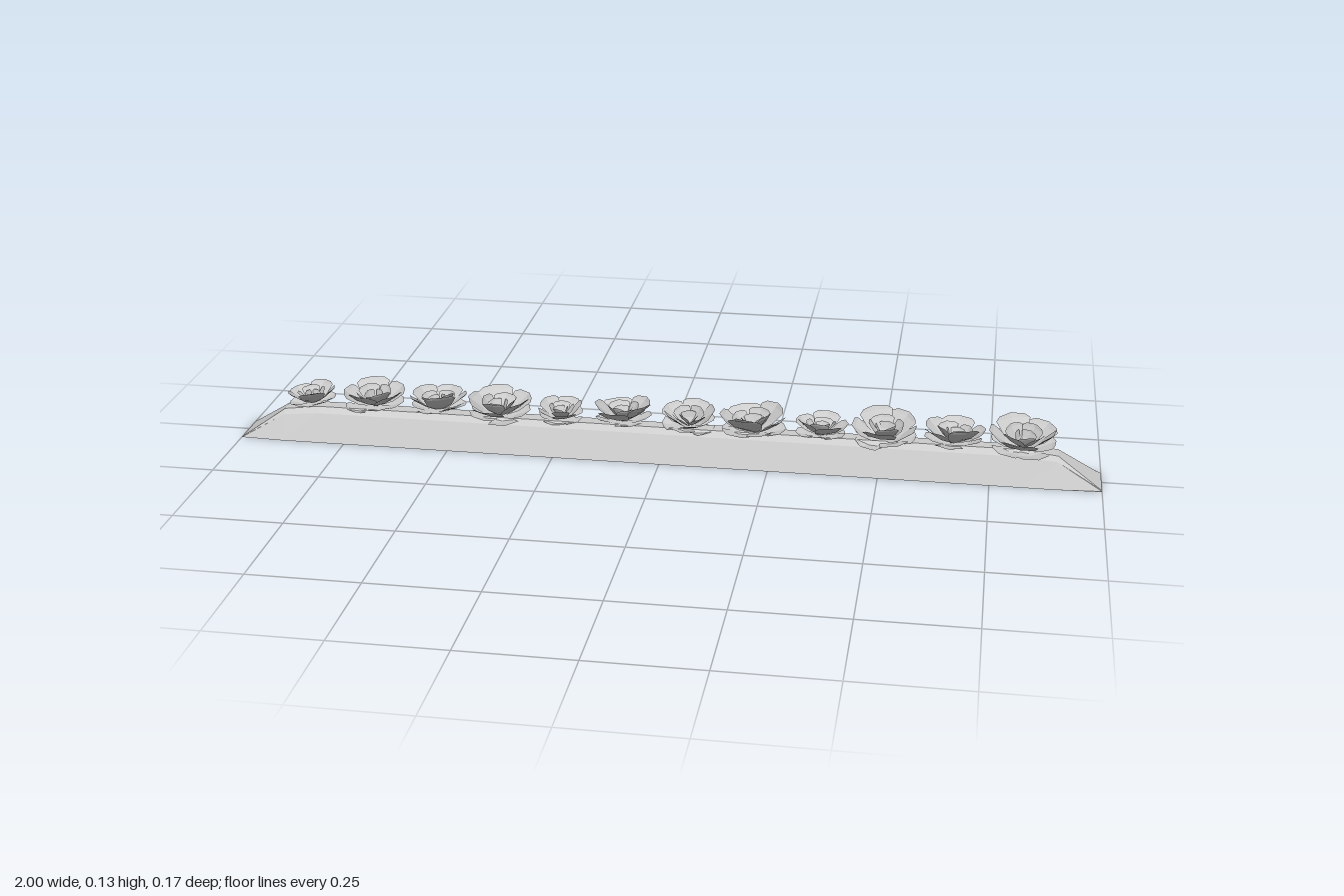
import * as THREE from 'three';

// Flat-shaded surface from a grid of points, given as rows of equal length
function gridGeometry(positions, rowLength) {
  const index = [];
  const rowCount = positions.length / 3 / rowLength;
  for (let r = 0; r < rowCount - 1; r++) {
    for (let c = 0; c < rowLength - 1; c++) {
      const a = r * rowLength + c, b = a + 1, e = a + rowLength, f = e + 1;
      index.push(a, b, e, b, f, e);
    }
  }
  const indexed = new THREE.BufferGeometry();
  indexed.setAttribute('position', new THREE.Float32BufferAttribute(positions, 3));
  indexed.setIndex(index);
  const flat = indexed.toNonIndexed();
  flat.computeVertexNormals();
  return flat;
}

// Petal: cross-sections running outward, cupped, with a broad end and a small point
function petalGeometry() {
  // [distance out, half width, edge lift]
  const rows = [[0, 0.12, 0], [0.42, 0.38, 0.05], [0.82, 0.5, 0.07], [0.95, 0.36, 0.05]];
  const positions = [];
  for (const [d, w, lift] of rows) {
    const sag = -0.08 * Math.sin(d * Math.PI);
    for (const u of [1, 0, -1]) {
      positions.push(d + (u === 0 ? d * 0.1 : 0), sag + (u === 0 ? 0 : lift), u * w);
    }
  }
  return gridGeometry(positions, 3);
}

// Low hollow ridge, open underneath, with sloping sides and ends and a chamfered top
function ridgeGeometry() {
  // [x, top height, bottom half depth, shoulder half depth, top half depth]
  const ends = [[1, 0, 0.053, 0.05, 0.045], [0.9, 0.066, 0.058, 0.031, 0.02], [0.82, 0.075, 0.058, 0.03, 0.016]];
  const sections = [...ends.map(([x, ...rest]) => [-x, ...rest]), ...ends.slice().reverse()];
  const positions = [];
  for (const [x, y, b, s, t] of sections) {
    const shoulder = y * 0.84;
    positions.push(x, 0, -b, x, shoulder, -s, x, y, -t, x, y, t, x, shoulder, s, x, 0, b);
  }
  return gridGeometry(positions, 6);
}

export function createModel() {
  const group = new THREE.Group();
  const stone = new THREE.MeshStandardMaterial({ color: 0xcccccc, flatShading: true, side: THREE.DoubleSide });
  stone.name = 'pale grey';

  const base = new THREE.Mesh(ridgeGeometry(), stone);
  base.name = 'base';
  group.add(base);

  const petal = petalGeometry();
  // Petal rings: [name, count, length, width, tilt, start height, turn]
  const rings = [
    ['lowerPetal', 5, 0.88, 0.95, 0.2, -0.03, 0.63],
    ['outerPetal', 5, 1.04, 1.08, 0.58, 0, 0],
    ['middlePetal', 4, 0.68, 0.75, 0.82, 0.03, 0.4],
    ['innerPetal', 3, 0.42, 0.55, 1.05, 0.08, 0.9],
  ];
  // Flowers along the ridge: [x, z, radius]
  const flowers = [
    [-0.84, -0.012, 0.058], [-0.69, -0.018, 0.072], [-0.535, -0.018, 0.068], [-0.385, -0.003, 0.076],
    [-0.24, -0.01, 0.055], [-0.095, -0.015, 0.07], [0.06, -0.01, 0.065], [0.21, 0.002, 0.078],
    [0.365, -0.003, 0.06], [0.51, -0.005, 0.074], [0.665, -0.005, 0.07], [0.82, 0.002, 0.079],
  ];
  flowers.forEach(([x, z, radius], i) => {
    const flower = new THREE.Group();
    flower.name = 'flower' + (i + 1);
    flower.position.set(x, 0.074, z);
    flower.rotation.set(Math.sin(i * 2.3) * 0.1, i * 1.9, Math.cos(i * 1.7) * 0.08);
    flower.scale.setScalar(radius);
    rings.forEach(([name, count, length, width, tilt, height, turn]) => {
      for (let p = 0; p < count; p++) {
        const pivot = new THREE.Group();
        pivot.rotation.y = turn + (p / count) * Math.PI * 2;
        const leaf = new THREE.Mesh(petal, stone);
        leaf.name = name;
        leaf.position.set(0.06, height, 0);
        leaf.rotation.z = tilt + 0.1 * Math.sin(i * 3 + p * 2.1);
        leaf.scale.set(length, length, width);
        pivot.add(leaf);
        flower.add(pivot);
      }
    });
    group.add(flower);
  });
  return group;
}
